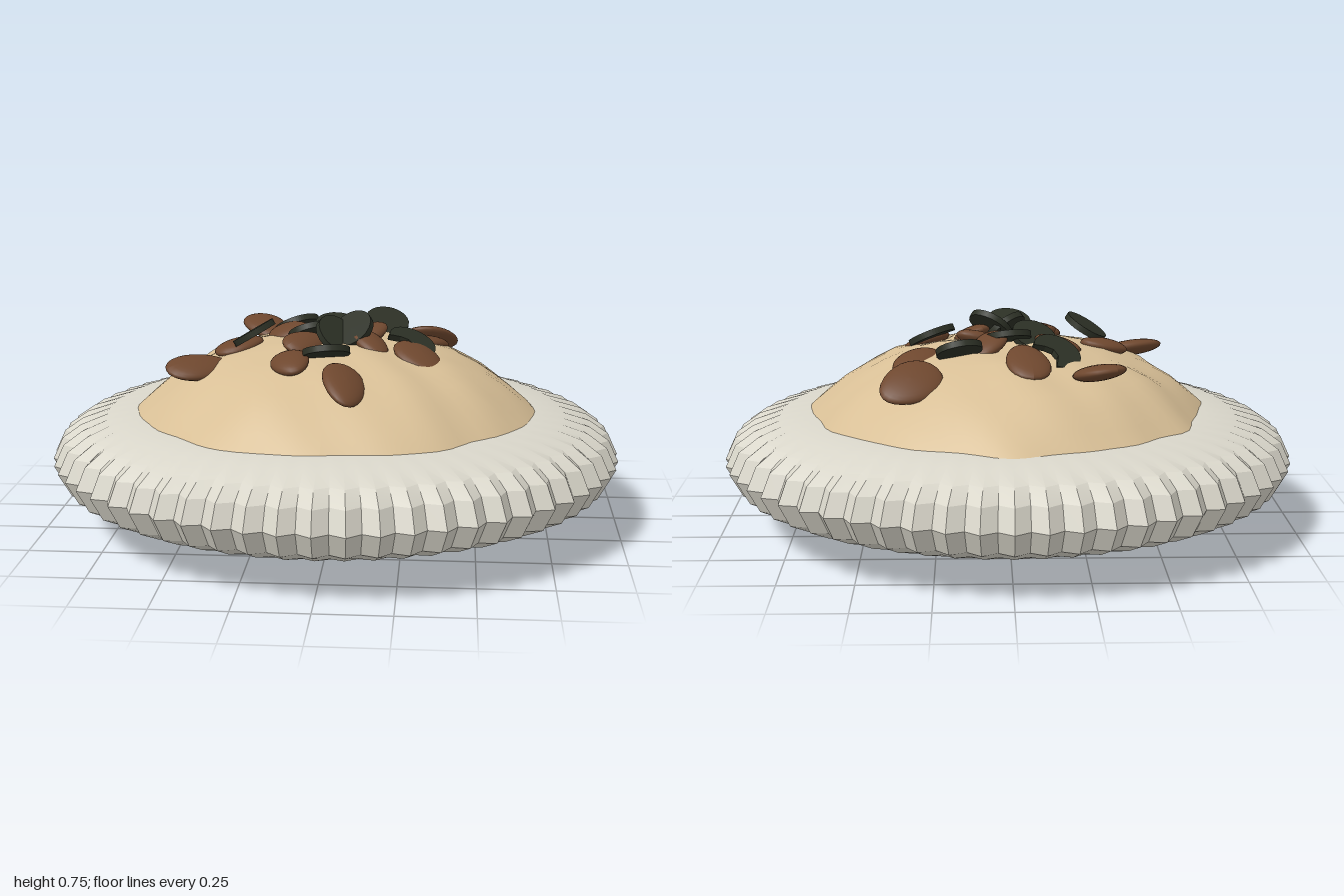
import * as THREE from 'three';
import { toCreasedNormals } from 'three/addons/utils/BufferGeometryUtils.js';

const mat = (name, color) => Object.assign(new THREE.MeshStandardMaterial({ color }), { name });

// Lathe whose vertices are moved by a rule(vector, column)
function shapedLathe(profile, segments, rule) {
  const geo = new THREE.LatheGeometry(profile.map(p => new THREE.Vector2(...p)), segments);
  const pos = geo.attributes.position, v = new THREE.Vector3();
  for (let i = 0; i < pos.count; i++) {
    v.fromBufferAttribute(pos, i);
    rule(v, Math.floor(i / profile.length));
    pos.setXYZ(i, v.x, v.y, v.z);
  }
  geo.computeVertexNormals();
  return geo;
}

// Fluted dish: every other column is pulled in, most strongly at the rim
function dishGeometry() {
  const profile = [[0, 0.005], [0.35, 0.03], [0.6, 0.06], [0.75, 0.09], [0.88, 0.13], [0.955, 0.165],
    [1, 0.245], [0.965, 0.32], [0.9, 0.365], [0.8, 0.395], [0.68, 0.41], [0.4, 0.415], [0, 0.415]];
  const geo = shapedLathe(profile, 120, (v, col) => {
    const r = Math.hypot(v.x, v.z);
    const t = THREE.MathUtils.smoothstep(r, 0.74, 0.95);
    if (col % 2) { v.x *= 1 - 0.035 * t; v.z *= 1 - 0.035 * t; }
  });
  return toCreasedNormals(geo, 0.4);
}

// Lumpy mound with an uneven edge
function moundGeometry() {
  const profile = [[0.715, 0.385], [0.685, 0.415], [0.64, 0.455], [0.58, 0.505], [0.51, 0.55], [0.43, 0.59],
    [0.34, 0.618], [0.24, 0.636], [0.12, 0.647], [0, 0.65]];
  return shapedLathe(profile, 80, v => {
    const r = Math.hypot(v.x, v.z), a = Math.atan2(v.z, v.x);
    const lump = Math.sin(v.x * 13 + 1) * Math.sin(v.z * 11 + v.y * 9)
      + 0.6 * Math.sin(v.x * 23 - v.z * 17 + 2) + 0.4 * Math.sin(v.z * 31 + v.x * 9);
    const k = 1 + r * (0.012 * Math.sin(3 * a + 1) + 0.014 * Math.sin(7 * a) + 0.01 * Math.sin(12 * a + 2));
    v.x *= k;
    v.z *= k;
    v.y += 0.006 * lump;
  });
}

// Egg-shaped flattened seed, one unit long
function almondGeometry() {
  const geo = new THREE.SphereGeometry(0.5, 24, 14);
  const pos = geo.attributes.position;
  for (let i = 0; i < pos.count; i++) pos.setZ(i, pos.getZ(i) * (1 - 0.3 * pos.getX(i)));
  geo.computeVertexNormals();
  return geo;
}

// Broken chip: a disc with a bite out of its +x side, lying flat
function crescentGeometry() {
  const s = new THREE.Shape();
  s.absarc(0, 0, 0.5, 0.75, Math.PI * 2 - 0.75, false);
  s.lineTo(0.16, -0.2);
  s.lineTo(0.06, -0.06);
  s.lineTo(0.1, 0.12);
  return new THREE.ExtrudeGeometry(s, { depth: 1, bevelEnabled: false, curveSegments: 20 })
    .translate(0, 0, -0.5).rotateX(-Math.PI / 2);
}

// Put a mesh at a point with heading (degrees seen from above) and normal (nx, 1, nz)
function place(mesh, x, y, z, heading, nx, nz) {
  const a = heading * Math.PI / 180;
  const up = new THREE.Vector3(nx, 1, nz).normalize();
  const along = new THREE.Vector3(Math.cos(a), 0, -Math.sin(a));
  along.addScaledVector(up, -along.dot(up)).normalize();
  const side = new THREE.Vector3().crossVectors(along, up);
  mesh.quaternion.setFromRotationMatrix(new THREE.Matrix4().makeBasis(along, up, side));
  mesh.position.set(x, y, z);
}

export function createModel() {
  const group = new THREE.Group();
  const foil = mat('foil grey', 0xd9d6ca);
  const cream = mat('cream', 0xd8bf96);
  const brown = mat('almond brown', 0x6e472e);
  const dark = mat('dark green', 0x2c3025);

  const add = (name, geo, material) => {
    const mesh = new THREE.Mesh(geo, material);
    mesh.name = name;
    group.add(mesh);
    return mesh;
  };
  add('flutedDish', dishGeometry(), foil);
  add('creamMound', moundGeometry(), cream);

  // Almonds: x, y, z, length, width, heading, nx, nz
  const almond = almondGeometry();
  [
    [-0.29, 0.61, -0.39, 0.21, 0.16, -55, 0.15, 0.2],
    [-0.06, 0.63, -0.31, 0.23, 0.15, -80, -0.1, -0.3],
    [0.33, 0.575, -0.38, 0.23, 0.18, 45, -0.05, -0.65],
    [0.32, 0.605, -0.15, 0.2, 0.14, 50, 0.1, -0.2],
    [-0.46, 0.58, 0.2, 0.23, 0.15, 28, 0.15, 0.3],
    [-0.34, 0.62, 0.03, 0.18, 0.13, 25, -0.2, 0.1],
    [-0.17, 0.65, -0.09, 0.18, 0.13, -35, -0.3, 0.2],
    [-0.1, 0.65, 0.1, 0.18, 0.12, 50, 0.3, 0.3],
    [0.1, 0.655, -0.03, 0.18, 0.12, 30, -0.2, 0.4],
    [0.07, 0.655, -0.13, 0.17, 0.12, 60, 0.3, -0.3],
    [0.13, 0.65, 0.1, 0.18, 0.12, -55, 0.4, 0.2],
    [0.3, 0.61, 0.14, 0.21, 0.16, -45, 0.35, 0.3],
    [-0.13, 0.625, 0.31, 0.19, 0.13, -75, -0.2, 0.2],
    [0.06, 0.585, 0.45, 0.23, 0.15, -75, 0.45, 0.35],
  ].forEach(([x, y, z, length, width, ...turn]) => {
    const m = add('almond', almond, brown);
    m.scale.set(length, 0.055, width);
    place(m, x, y, z, ...turn);
  });

  // Round seeds: x, y, z, heading, nx, nz
  const disc = new THREE.CylinderGeometry(0.5, 0.5, 1, 22);
  [
    [0.17, 0.66, -0.24, 0, 0.2, 0.5],
    [0, 0.675, -0.08, 0, 0.1, 0.35],
    [-0.09, 0.665, -0.03, 30, -0.3, -0.5],
    [-0.28, 0.68, 0.08, 0, -0.6, -0.1],
    [-0.01, 0.66, 0.29, 0, -0.1, -0.4],
    [0.06, 0.69, 0.06, 20, -0.6, 0.7],
    [0.01, 0.675, 0.08, 60, 0.8, 0.6],
  ].forEach(([x, y, z, ...turn]) => {
    const m = add('roundSeed', disc, dark);
    m.scale.set(0.16, 0.022, 0.16);
    place(m, x, y, z, ...turn);
  });

  // Broken seeds
  const crescent = crescentGeometry();
  [
    [-0.16, 0.645, -0.23, 50, -0.4, -0.5],
    [0.27, 0.65, 0.08, -125, 0.4, 0.3],
  ].forEach(([x, y, z, ...turn]) => {
    const m = add('brokenSeed', crescent, dark);
    m.scale.set(0.17, 0.022, 0.17);
    place(m, x, y, z, ...turn);
  });

  return group;
}
